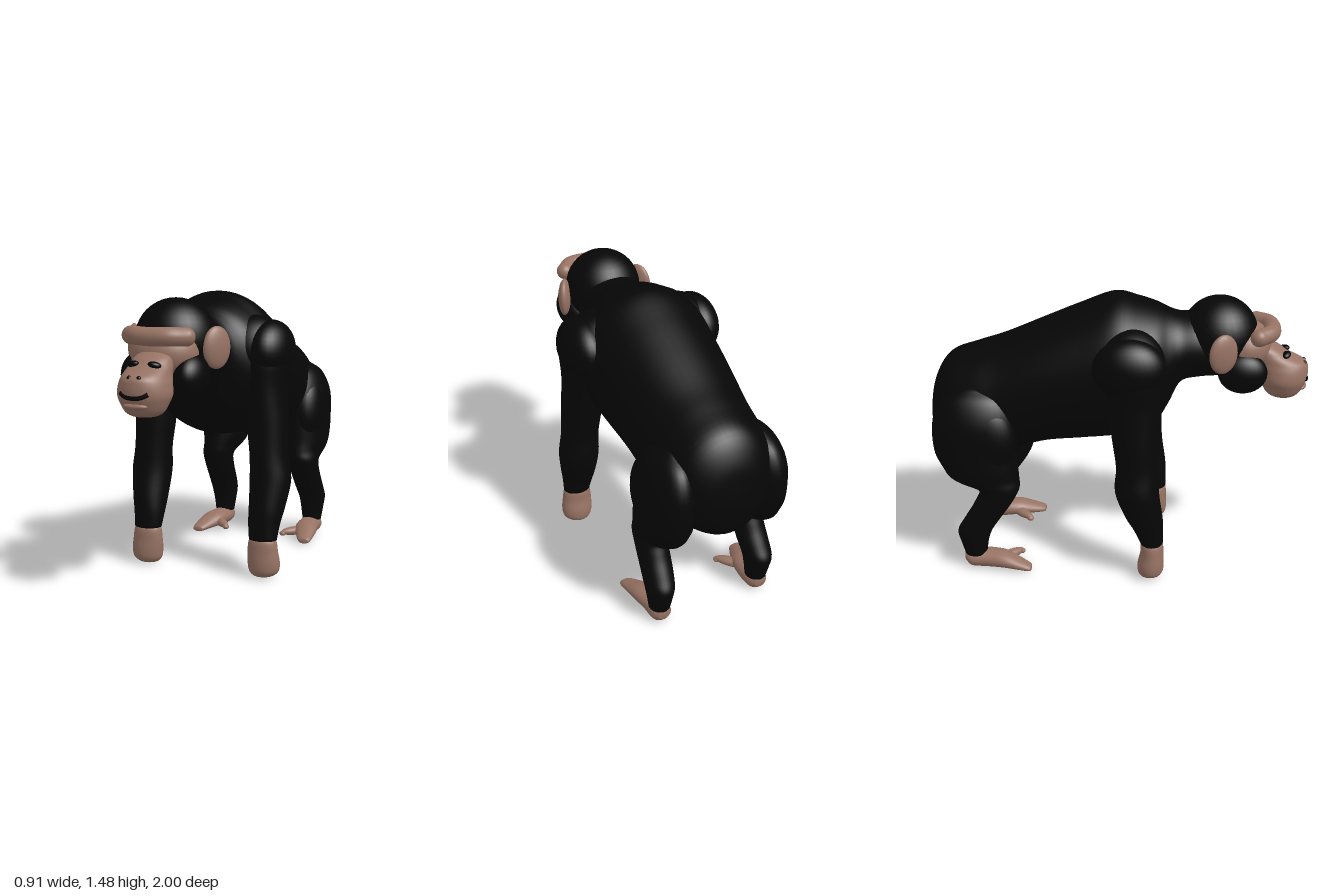
import * as THREE from 'three';

const fur = new THREE.MeshStandardMaterial({ color: 0x060606 });
fur.name = 'black fur';
const skin = new THREE.MeshStandardMaterial({ color: 0x967263 });
skin.name = 'brown skin';
const dark = new THREE.MeshStandardMaterial({ color: 0x030303 });
dark.name = 'dark features';

// Smooth closed loft of ellipses. Rows run down y as [y, cx, cz, rx, rz],
// or forward along z as [z, cx, cy, rx, ry].
function loft(axis, rows, side = 1, sides = 32) {
  const centres = new THREE.CatmullRomCurve3(rows.map(r => new THREE.Vector3(r[0], r[1], r[2])));
  const radii = new THREE.CatmullRomCurve3(rows.map(r => new THREE.Vector3(r[3], r[4], 0)));
  centres.curveType = radii.curveType = 'catmullrom';
  const pos = [], index = [], steps = (rows.length - 1) * 5;
  const put = (t, u, v) => axis === 'y' ? pos.push(u, t, v) : pos.push(u, v, t);
  for (let i = 0; i <= steps; i++) {
    const c = centres.getPoint(i / steps), r = radii.getPoint(i / steps);
    for (let j = 0; j < sides; j++) {
      const a = j / sides * Math.PI * 2;
      put(c.x, side * c.y + r.x * Math.cos(a), c.z + r.y * Math.sin(a));
    }
  }
  for (const r of [rows[0], rows[rows.length - 1]]) put(r[0], side * r[1], r[2]);
  const start = (steps + 1) * sides, end = start + 1;
  for (let j = 0; j < sides; j++) {
    const k = (j + 1) % sides;
    for (let i = 0; i < steps; i++) {
      const a = i * sides + j, b = i * sides + k;
      index.push(a, b, a + sides, b, b + sides, a + sides);
    }
    index.push(start, k, j, end, steps * sides + j, steps * sides + k);
  }
  const g = new THREE.BufferGeometry();
  g.setAttribute('position', new THREE.Float32BufferAttribute(pos, 3));
  g.setIndex(index);
  g.computeVertexNormals();
  return g;
}

export function createModel() {
  const model = new THREE.Group();
  model.name = 'ape';

  const add = (parent, name, geometry, material) => {
    const m = new THREE.Mesh(geometry, material);
    m.name = name;
    parent.add(m);
    return m;
  };
  const ball = (parent, name, material, p, r, rot = [0, 0, 0]) => {
    const m = add(parent, name, new THREE.SphereGeometry(1, 32, 20), material);
    m.position.set(...p);
    m.scale.set(...r);
    m.rotation.set(...rot);
  };

  // Torso: [z, top, bottom, half width] from rump to neck
  const torso = [
    [-1.0, 0.86, 0.75, 0.05], [-0.97, 1.02, 0.63, 0.16], [-0.89, 1.145, 0.57, 0.25],
    [-0.75, 1.2, 0.555, 0.295], [-0.6, 1.25, 0.6, 0.305], [-0.4, 1.335, 0.67, 0.325],
    [-0.2, 1.42, 0.695, 0.345], [-0.02, 1.487, 0.715, 0.36], [0.1, 1.465, 0.74, 0.35],
    [0.2, 1.435, 0.79, 0.32], [0.27, 1.405, 0.9, 0.25], [0.33, 1.39, 1.02, 0.2],
    [0.42, 1.39, 1.05, 0.185], [0.55, 1.36, 1.06, 0.16],
  ].map(([z, t, b, w]) => [z, 0, (t + b) / 2, w, (t - b) / 2]);
  add(model, 'torso', loft('z', torso, 1, 48), fur);

  for (const s of [1, -1]) {
    const label = s > 0 ? 'left' : 'right';

    // Arm and fist
    const arm = new THREE.Group();
    arm.name = label + 'Arm';
    model.add(arm);
    ball(arm, 'shoulder', fur, [s * 0.325, 1.19, 0.075], [0.12, 0.16, 0.188]);
    ball(arm, 'shoulderBlade', fur, [s * 0.22, 1.19, 0.075], [0.19, 0.185, 0.185]);
    add(arm, 'armFur', loft('y', [
      [1.25, 0.31, 0.09, 0.09, 0.13], [1.15, 0.31, 0.095, 0.12, 0.155], [1.0, 0.315, 0.1, 0.107, 0.14],
      [0.8, 0.325, 0.11, 0.107, 0.12], [0.65, 0.335, 0.12, 0.1, 0.11], [0.52, 0.345, 0.12, 0.108, 0.115],
      [0.38, 0.34, 0.155, 0.095, 0.1], [0.3, 0.335, 0.18, 0.085, 0.08], [0.215, 0.335, 0.2, 0.075, 0.06],
    ], s), fur);
    add(arm, 'hand', loft('y', [
      [0.235, 0.335, 0.202, 0.045, 0.035], [0.21, 0.335, 0.202, 0.073, 0.058], [0.15, 0.336, 0.202, 0.083, 0.062],
      [0.09, 0.34, 0.197, 0.087, 0.07], [0.045, 0.34, 0.195, 0.08, 0.067], [0.02, 0.335, 0.192, 0.055, 0.05],
      [0.012, 0.33, 0.19, 0.02, 0.02],
    ], s), skin);

    // Hind leg with heavy thigh, bent knee and foot
    const leg = new THREE.Group();
    leg.name = label + 'Leg';
    model.add(leg);
    add(leg, 'legFur', loft('y', [
      [1.04, 0.23, -0.73, 0.03, 0.06], [0.98, 0.24, -0.73, 0.09, 0.17], [0.86, 0.25, -0.735, 0.127, 0.22],
      [0.7, 0.255, -0.735, 0.127, 0.22], [0.6, 0.255, -0.715, 0.127, 0.2], [0.54, 0.26, -0.69, 0.112, 0.18],
      [0.48, 0.27, -0.62, 0.09, 0.11], [0.4, 0.275, -0.65, 0.083, 0.1], [0.3, 0.28, -0.715, 0.08, 0.095],
      [0.23, 0.285, -0.757, 0.075, 0.092], [0.16, 0.285, -0.762, 0.065, 0.074], [0.09, 0.285, -0.757, 0.055, 0.06],
    ], s), fur);
    ball(leg, 'thighMuscle', fur, [s * 0.285, 0.76, -0.665], [0.095, 0.21, 0.15]);
    add(leg, 'foot', loft('z', [
      [-0.815, 0.285, 0.07, 0.03, 0.03], [-0.78, 0.285, 0.06, 0.055, 0.048], [-0.7, 0.285, 0.06, 0.062, 0.05],
      [-0.6, 0.3, 0.06, 0.066, 0.044], [-0.52, 0.32, 0.045, 0.052, 0.03], [-0.46, 0.335, 0.032, 0.035, 0.018],
      [-0.45, 0.335, 0.03, 0.015, 0.008],
    ], s), skin);
    ball(leg, 'bigToe', skin, [s * 0.24, 0.05, -0.585], [0.03, 0.025, 0.095], [0, -s * 0.75, 0]);
    ball(leg, 'bigToeTip', skin, [s * 0.183, 0.042, -0.525], [0.019, 0.015, 0.02]);
  }

  // Head
  const head = new THREE.Group();
  head.name = 'head';
  model.add(head);
  ball(head, 'cranium', fur, [0, 1.28, 0.53], [0.203, 0.2, 0.2]);
  ball(head, 'face', skin, [0, 1.225, 0.66], [0.172, 0.13, 0.143]);
  add(head, 'muzzle', loft('y', [
    [1.25, 0, 0.74, 0.06, 0.04], [1.215, 0, 0.775, 0.092, 0.075], [1.18, 0, 0.8, 0.105, 0.1],
    [1.14, 0, 0.84, 0.113, 0.142], [1.1, 0, 0.86, 0.125, 0.138], [1.05, 0, 0.865, 0.131, 0.131],
    [1.01, 0, 0.87, 0.117, 0.112], [0.97, 0, 0.87, 0.095, 0.09], [0.95, 0, 0.87, 0.065, 0.06],
    [0.943, 0, 0.87, 0.025, 0.025],
  ]), skin);

  // Brow ridge with rounded ends
  const browPath = new THREE.CatmullRomCurve3([
    [-0.145, 1.308, 0.725], [-0.085, 1.312, 0.785], [0, 1.31, 0.8], [0.085, 1.312, 0.785], [0.145, 1.308, 0.725],
  ].map(p => new THREE.Vector3(...p)));
  add(head, 'browRidge', new THREE.TubeGeometry(browPath, 32, 0.045, 16), skin);

  for (const s of [1, -1]) {
    const label = s > 0 ? 'left' : 'right';
    ball(head, label + 'BrowEnd', skin, [s * 0.145, 1.308, 0.725], [0.045, 0.045, 0.045]);
    ball(head, label + 'Cheek', fur, [s * 0.14, 1.115, 0.65], [0.08, 0.108, 0.127]);
    ball(head, label + 'Ear', skin, [s * 0.223, 1.245, 0.545], [0.033, 0.104, 0.08], [0, -s * 0.5, 0]);
    ball(head, label + 'Eye', dark, [s * 0.055, 1.188, 0.876], [0.032, 0.016, 0.022], [0, s * 0.4, -s * 0.2]);
    ball(head, label + 'Nostril', dark, [s * 0.025, 1.136, 0.974], [0.012, 0.011, 0.012]);
  }

  // Smiling mouth and lower lip
  const smile = new THREE.CatmullRomCurve3([
    [-0.07, 1.065, 0.973], [-0.04, 1.05, 0.985], [0, 1.046, 0.99], [0.04, 1.05, 0.985], [0.07, 1.065, 0.973],
  ].map(p => new THREE.Vector3(...p)));
  add(head, 'mouth', new THREE.TubeGeometry(smile, 24, 0.012, 10), dark);
  ball(head, 'lowerLip', skin, [0, 1.005, 0.967], [0.062, 0.017, 0.027]);

  return model;
}
